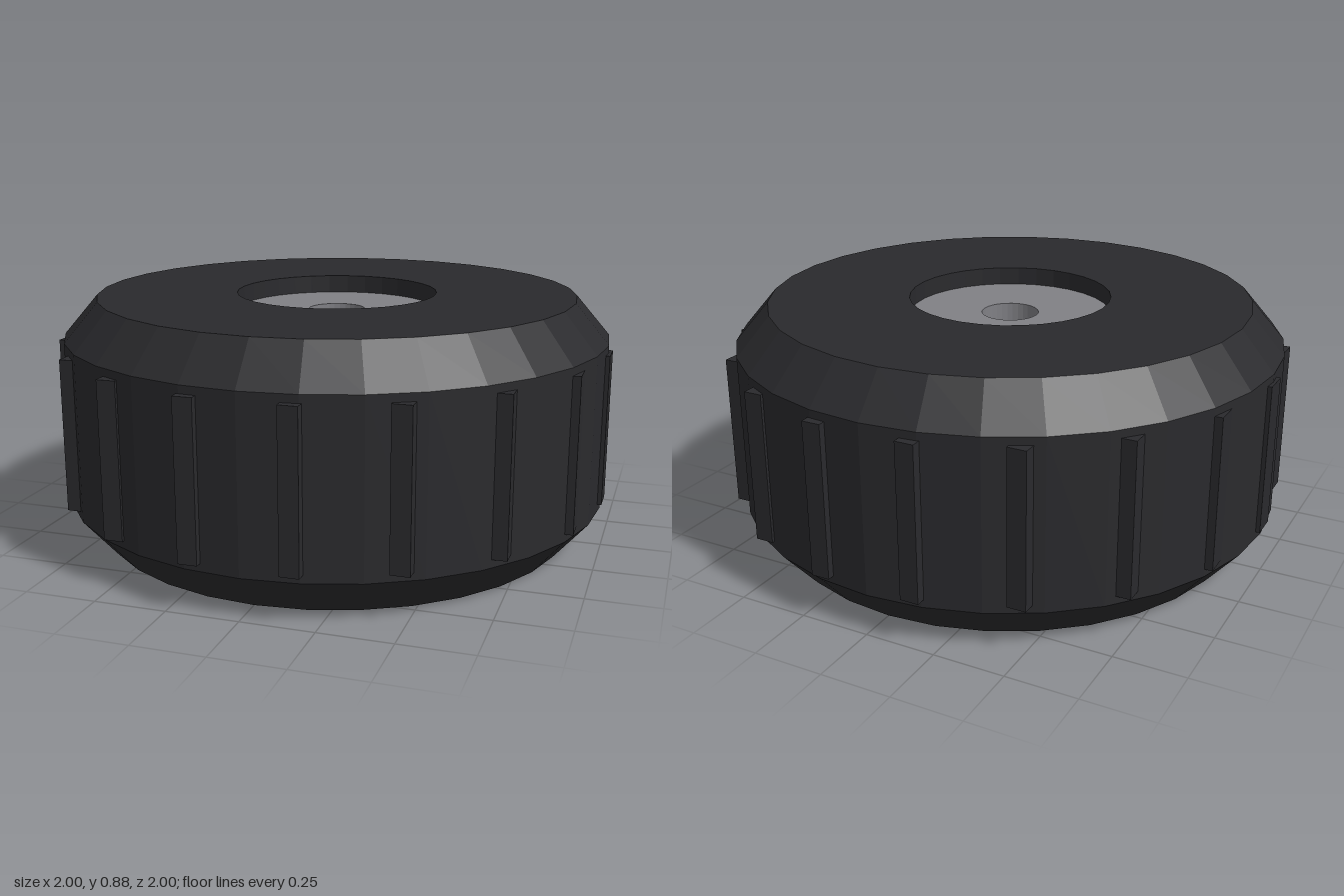
import * as THREE from 'three';

const SEGMENTS = 32;
const HEIGHT = 0.875;

// Solid of revolution from [radius, y] pairs, running up the outside
function turned(name, profile, material) {
  const points = profile.map(([r, y]) => new THREE.Vector2(r, y));
  const mesh = new THREE.Mesh(new THREE.LatheGeometry(points, SEGMENTS), material);
  mesh.name = name;
  return mesh;
}

export function createModel() {
  const model = new THREE.Group();
  model.name = 'wheel';
  const rubber = new THREE.MeshStandardMaterial({ color: 0x2a2a2d, flatShading: true });
  const metal = new THREE.MeshStandardMaterial({ color: 0x808085, flatShading: true });

  // Chamfered tyre with a bore for the hub
  model.add(turned('tyre', [
    [0.365, 0], [0.87, 0], [0.99, 0.14], [0.99, HEIGHT - 0.14],
    [0.87, HEIGHT], [0.365, HEIGHT], [0.365, 0],
  ], rubber));

  // Recessed hub with a blind axle hole on each side
  const recess = 0.065, holeDepth = 0.25, holeRadius = 0.103;
  const low = recess, high = HEIGHT - recess;
  model.add(turned('hub', [
    [0, low + holeDepth], [holeRadius, low + holeDepth], [holeRadius, low], [0.365, low],
    [0.365, high], [holeRadius, high], [holeRadius, high - holeDepth], [0, high - holeDepth],
  ], metal));

  // Tread blocks around the tyre, all kept square to the axes
  const treads = new THREE.Group();
  treads.name = 'treads';
  const block = new THREE.BoxGeometry(0.066, 0.54, 0.1);
  const count = 18, ring = 0.967;
  for (let i = 0; i < count; i++) {
    const a = (i / count) * Math.PI * 2;
    const tread = new THREE.Mesh(block, rubber);
    tread.name = 'treadBlock';
    tread.position.set(Math.cos(a) * ring, HEIGHT / 2, Math.sin(a) * ring);
    treads.add(tread);
  }
  model.add(treads);
  return model;
}
